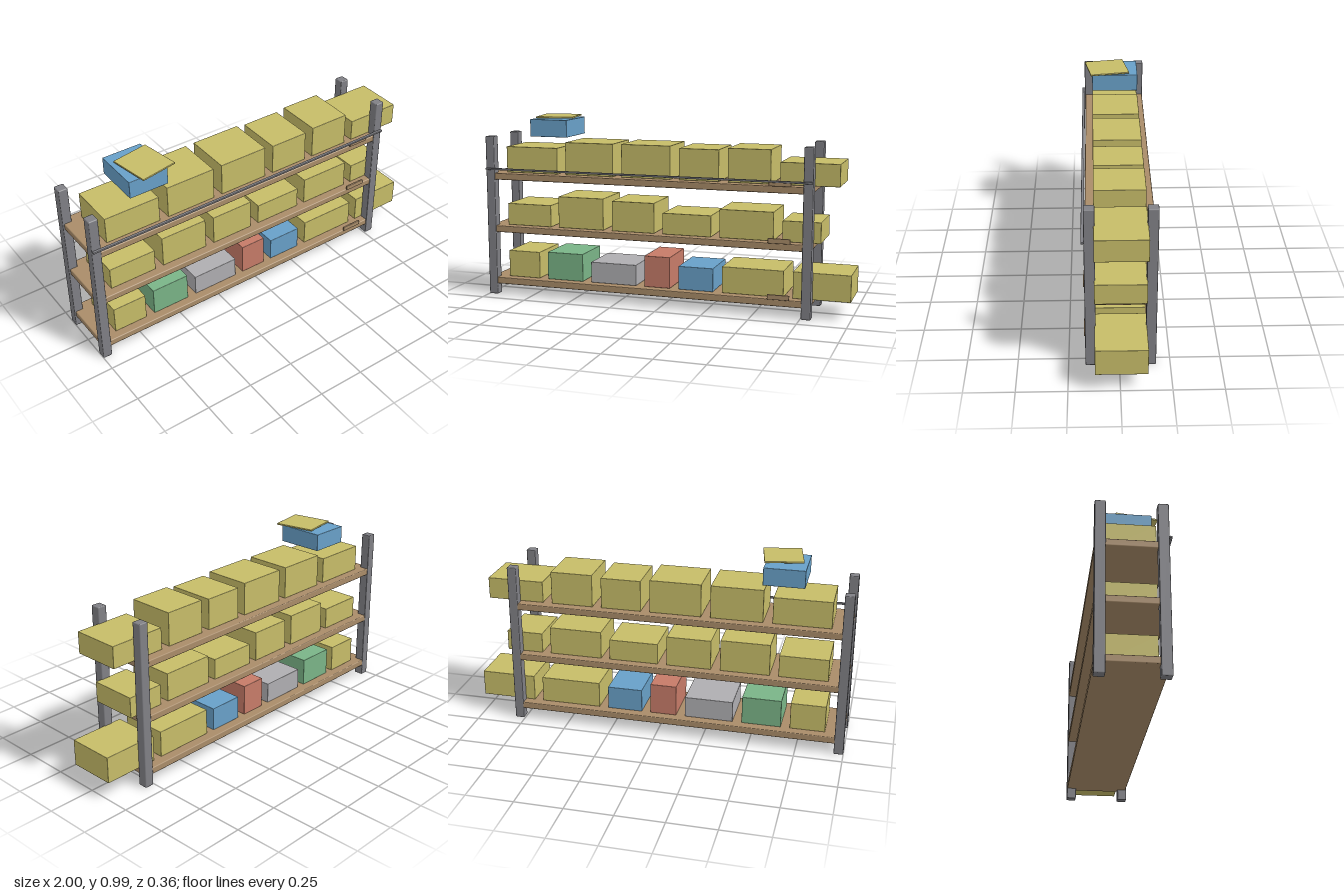
import * as THREE from 'three';
import { RoundedBoxGeometry } from 'three/addons/geometries/RoundedBoxGeometry.js';

const material = (name, color) => {
  const m = new THREE.MeshStandardMaterial({ color });
  m.name = name;
  return m;
};

export function createModel() {
  const steel = material('steel grey', 0x808085);
  const wood = material('wood brown', 0xa98c69);
  const card = material('cardboard yellow', 0xc6bc68);
  const blue = material('box blue', 0x68a0c8);
  const green = material('box green', 0x7ab487);
  const grey = material('box grey', 0xafaeb1);
  const red = material('box red', 0xc67b68);

  const model = new THREE.Group();
  model.name = 'storageRack';

  // Slightly chamfered block given by its limits on each axis
  const block = (name, mat, [x0, x1], [y0, y1], [z0, z1], bevel = 0.002, parent = model) => {
    const geometry = new RoundedBoxGeometry(x1 - x0, y1 - y0, z1 - z0, 1, bevel);
    const mesh = new THREE.Mesh(geometry, mat);
    mesh.name = name;
    mesh.position.set((x0 + x1) / 2, (y0 + y1) / 2, (z0 + z1) / 2);
    parent.add(mesh);
    return mesh;
  };

  // Four corner posts
  for (const x of [-1, 0.755])
    for (const z of [-0.18, 0.115])
      block('post', steel, [x, x + 0.05], [0, 0.88], [z, z + 0.052], 0.005);

  // Rail across the front of the top shelf
  block('frontRail', steel, [-0.998, 0.803], [0.698, 0.708], [0.166, 0.181]);

  // Shelves with their boxes: [left, right, top, material]
  const depth = [-0.132, 0.121];
  const shelves = [
    { top: 0.095, boxes: [
      [-0.896, -0.711, 0.243, card], [-0.663, -0.455, 0.248, green], [-0.406, -0.147, 0.21, grey],
      [-0.099, 0.043, 0.265, red], [0.091, 0.28, 0.222, blue], [0.329, 0.655, 0.237, card],
      [0.703, 1, 0.237, card]] },
    { top: 0.387, boxes: [
      [-0.896, -0.639, 0.508, card], [-0.593, -0.332, 0.56, card], [-0.283, -0.045, 0.551, card],
      [0.003, 0.267, 0.502, card], [0.313, 0.598, 0.539, card], [0.644, 0.842, 0.498, card]] },
    { top: 0.679, boxes: [
      [-0.896, -0.596, 0.823, card], [-0.548, -0.275, 0.856, card], [-0.227, 0.045, 0.857, card],
      [0.093, 0.307, 0.847, card], [0.355, 0.58, 0.857, card], [0.628, 0.931, 0.796, card]] },
  ];
  for (const { top, boxes } of shelves) {
    const shelf = new THREE.Group();
    shelf.name = 'shelfWithBoxes';
    model.add(shelf);
    block('shelf', wood, [-0.992, 0.797], [top - 0.036, top], [-0.178, 0.163], 0.005, shelf);
    block('labelPlate', wood, [0.58, 0.695], [top, top + 0.026], [0.163, 0.173], 0.002, shelf);
    for (const [left, right, height, mat] of boxes)
      block('box', mat, [left, right], [top + 0.002, height], depth, 0.002, shelf);
  }

  // Loose box and turned lid above the top shelf
  block('looseBox', blue, [-0.751, -0.538], [0.882, 0.975], depth);
  const lid = block('lid', card, [-0.716, -0.516], [0.985, 0.994], [-0.071, 0.147]);
  lid.rotation.y = 0.174;

  return model;
}
